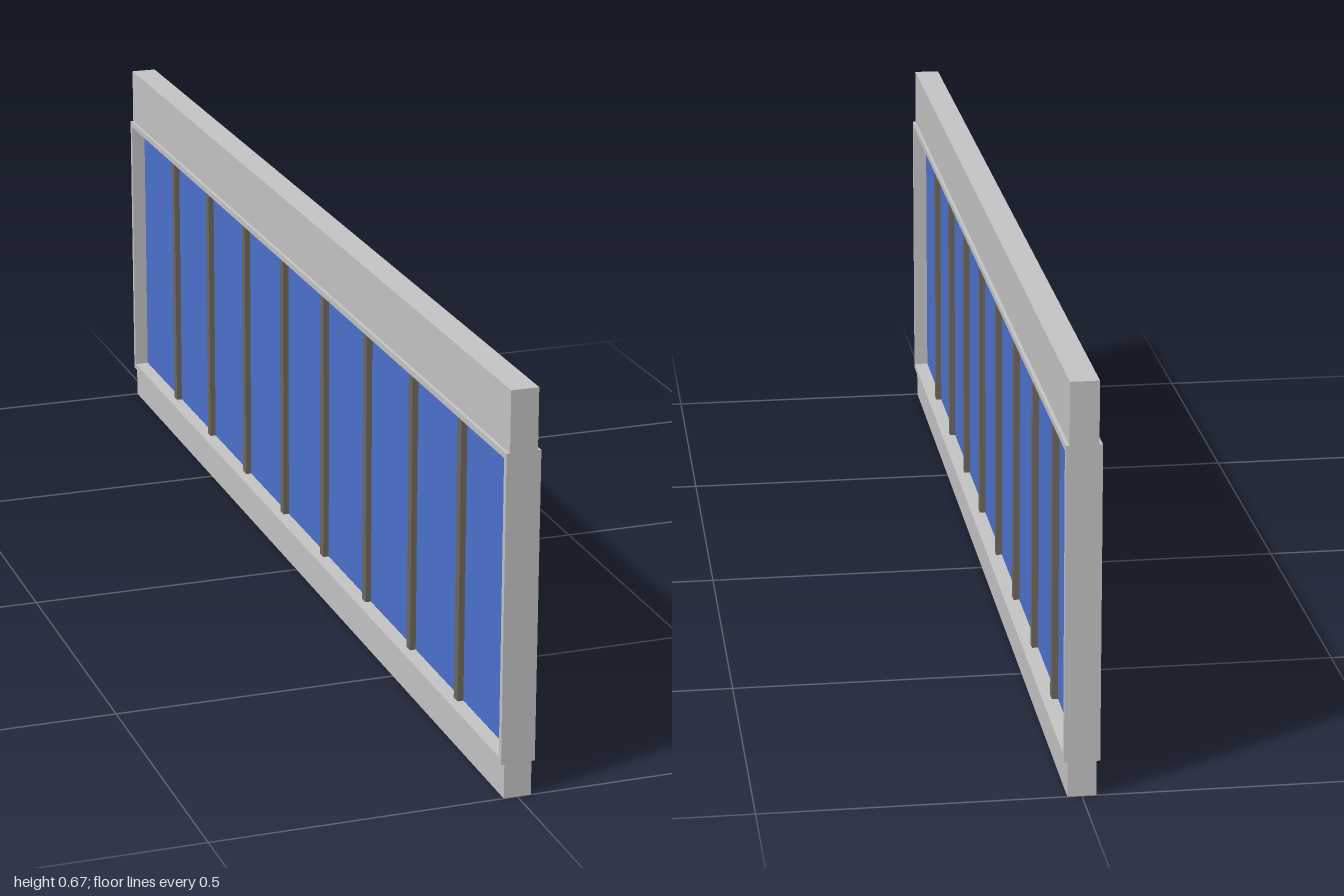
import * as THREE from 'three';

export function createModel() {
  const model = new THREE.Group();
  model.name = 'windowWallPanel';

  const mat = (name, color) => {
    const m = new THREE.MeshStandardMaterial({ color });
    m.name = name;
    return m;
  };
  const grey = mat('lightGrey', 0xc4c4c4);
  const blue = mat('blueGlass', 0x4c71cc);
  const bronze = mat('darkBronze', 0x6e695f);

  // Box given by its depth in x, its bottom and top in y, and its centre and length in z
  const box = (name, material, depth, y0, y1, z, length, parent = model) => {
    const mesh = new THREE.Mesh(new THREE.BoxGeometry(depth, y1 - y0, length), material);
    mesh.position.set(0, (y0 + y1) / 2, z);
    mesh.name = name;
    parent.add(mesh);
    return mesh;
  };

  const wall = 0.045, frameDepth = 0.056;
  const frameBottom = 0.057, frameTop = 0.567, lip = 0.01;
  const glassBottom = frameBottom + lip, glassTop = frameTop - lip;

  // Solid wall below and above the window band
  box('lowerWall', grey, wall, 0, frameBottom, 0, 2);
  box('upperWall', grey, wall, frameTop, 0.667, 0, 2);

  // Thin frame around the opening, slightly proud of the wall on both sides
  const outline = new THREE.Shape([
    new THREE.Vector2(-1, frameBottom), new THREE.Vector2(1, frameBottom),
    new THREE.Vector2(1, frameTop), new THREE.Vector2(-1, frameTop),
  ]);
  const edge = 1 - lip;
  outline.holes.push(new THREE.Path([
    new THREE.Vector2(-edge, glassBottom), new THREE.Vector2(-edge, glassTop),
    new THREE.Vector2(edge, glassTop), new THREE.Vector2(edge, glassBottom),
  ]));
  const frameGeometry = new THREE.ExtrudeGeometry(outline, { depth: frameDepth, bevelEnabled: false });
  frameGeometry.translate(0, 0, -frameDepth / 2).rotateY(Math.PI / 2);
  const frame = new THREE.Mesh(frameGeometry, grey);
  frame.name = 'windowFrame';
  model.add(frame);

  // Glass sheet on the centre line of the wall
  box('glass', blue, 0.006, glassBottom, glassTop, 0, 2 * edge);

  // Eight mullions dividing the glass into nine panes
  const mullions = new THREE.Group();
  mullions.name = 'mullions';
  model.add(mullions);
  for (let i = 0; i < 8; i++) {
    box('mullion', bronze, 0.026, glassBottom, glassTop, (i - 3.5) * 0.2185, 0.017, mullions);
  }

  return model;
}
